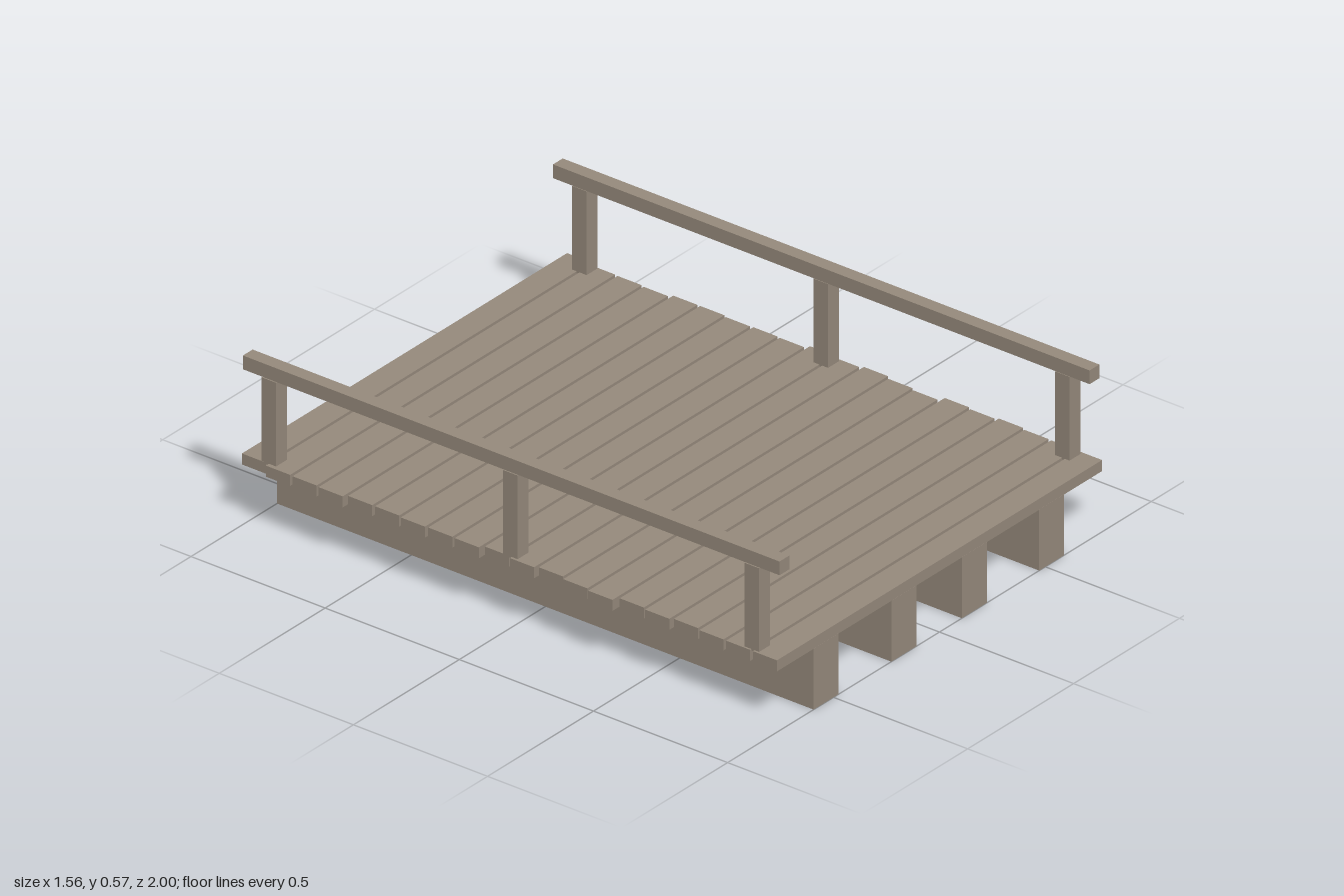
import * as THREE from 'three';

export function createModel() {
  const model = new THREE.Group();
  const wood = new THREE.MeshStandardMaterial({ color: 0x978b7d, flatShading: true });

  const box = (name, parent, w, h, d, x, y, z) => {
    const mesh = new THREE.Mesh(new THREE.BoxGeometry(w, h, d), wood);
    mesh.name = name;
    mesh.position.set(x, y, z);
    parent.add(mesh);
    return mesh;
  };
  const group = (name) => {
    const g = new THREE.Group();
    g.name = name;
    model.add(g);
    return g;
  };

  // Four heavy beams running the full length
  const beams = group('supportBeams');
  for (const x of [-0.535, -0.168, 0.165, 0.53]) box('beam', beams, 0.118, 0.204, 2, x, 0.102, 0);

  // Twenty cross planks, back to front, each nudged sideways (thousandths)
  const deck = group('deck');
  const shifts = [8, -6, -8, -12, 0, 0, -6, -4, -6, 9, 0, 9, -3, -12, 9, 2, 10, 3, 2, 1];
  const pitch = 0.1005, plankDepth = 0.09;
  shifts.forEach((s, i) =>
    box('plank', deck, 1.535, 0.037, plankDepth, s / 1000, 0.2215, -1 + plankDepth / 2 + i * pitch));

  // A railing on each side: three posts under one handrail
  for (const side of [-1, 1]) {
    const railing = group(side > 0 ? 'leftRailing' : 'rightRailing');
    for (const z of [-0.9, 0, 0.9]) box('post', railing, 0.052, 0.285, 0.054, side * 0.733, 0.3775, z);
    box('handrail', railing, 0.046, 0.046, 2, side * 0.732, 0.543, 0);
  }

  return model;
}
